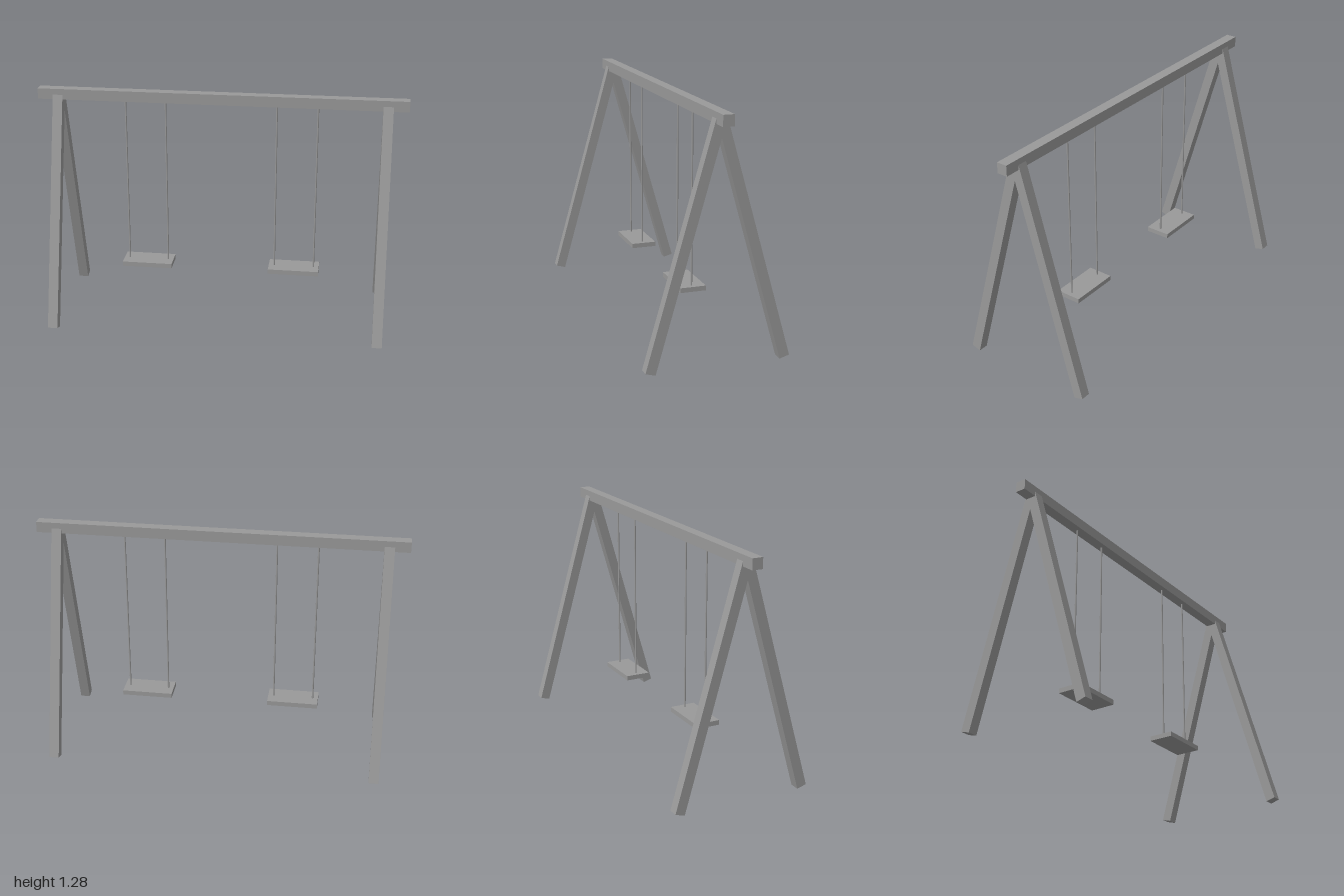
import * as THREE from 'three';

export function createModel() {
  const swing = new THREE.Group();
  swing.name = 'swingSet';
  const grey = new THREE.MeshStandardMaterial({ color: 0x999999 });
  grey.name = 'grey';

  const add = (parent, name, geometry, x, y, z) => {
    const mesh = new THREE.Mesh(geometry, grey);
    mesh.name = name;
    mesh.position.set(x, y, z);
    parent.add(mesh);
    return mesh;
  };

  // Top beam
  const beamY = 1.255;
  add(swing, 'topBeam', new THREE.BoxGeometry(2, 0.058, 0.058), 0, beamY, 0);

  // Splayed legs, running from the beam centre to the ground
  const footY = 0.0075, footZ = 0.356;
  const legLength = Math.hypot(beamY - footY, footZ);
  const splay = Math.atan2(footZ, beamY - footY);
  const legGeometry = new THREE.BoxGeometry(0.054, legLength, 0.054);
  for (const side of [1, -1]) {
    for (const end of [1, -1]) {
      const name = (side > 0 ? 'left' : 'right') + (end > 0 ? 'Front' : 'Back') + 'Leg';
      const leg = add(swing, name, legGeometry, side * 0.89, (beamY + footY) / 2, end * footZ / 2);
      leg.rotation.x = -end * splay;
    }
  }

  // Two hanging seats, each on a pair of ropes
  const seatTop = 0.298, ropeTop = 1.23;
  const seatGeometry = new THREE.BoxGeometry(0.28, 0.026, 0.14);
  const ropeGeometry = new THREE.CylinderGeometry(0.0047, 0.0047, ropeTop - seatTop, 12);
  for (const side of [1, -1]) {
    const seat = new THREE.Group();
    seat.name = side > 0 ? 'leftSwing' : 'rightSwing';
    seat.position.x = side * 0.412;
    swing.add(seat);
    add(seat, 'seat', seatGeometry, 0, seatTop - 0.013, 0);
    for (const s of [1, -1]) {
      add(seat, s > 0 ? 'leftRope' : 'rightRope', ropeGeometry, s * 0.11, (ropeTop + seatTop) / 2, 0);
    }
  }
  return swing;
}
